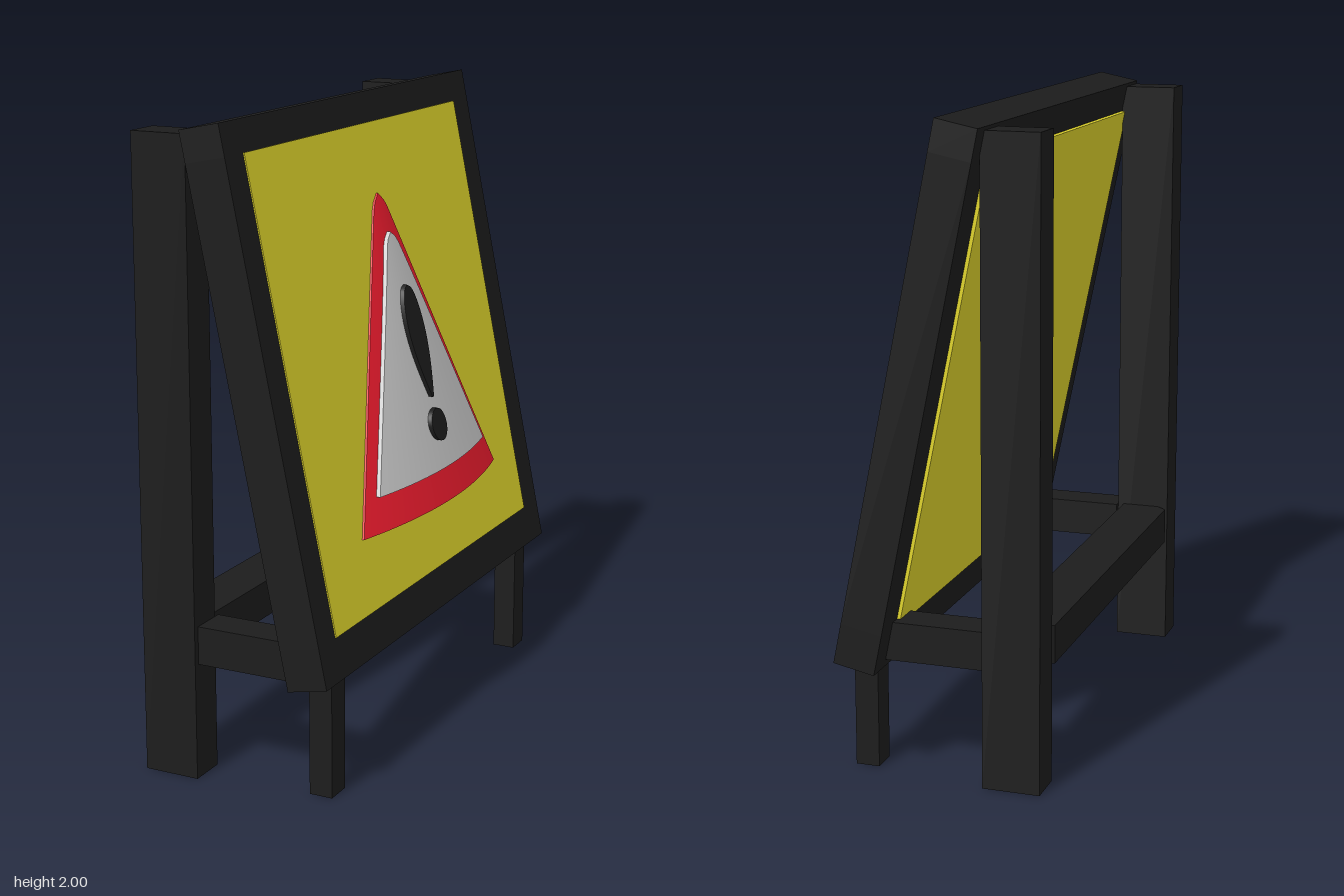
import * as THREE from 'three';

const paint = (color) => new THREE.MeshStandardMaterial({ color });
const black = paint(0x1c1c1c), yellow = paint(0xe0d52c), red = paint(0xee1c2e);
const white = paint(0xcccccc), ink = paint(0x1c1c1c);

function add(parent, name, geometry, material) {
  const mesh = new THREE.Mesh(geometry, material);
  mesh.name = name;
  parent.add(mesh);
  return mesh;
}

// Box given by its limits on each axis
function block(parent, name, [x0, x1], [y0, y1], [z0, z1], material = black) {
  const mesh = add(parent, name, new THREE.BoxGeometry(x1 - x0, y1 - y0, z1 - z0), material);
  mesh.position.set((x0 + x1) / 2, (y0 + y1) / 2, (z0 + z1) / 2);
  return mesh;
}

// Front face of the leaning board, and the bulged warning surface on it
const MID = -0.027, TOP = 1.69, BOTTOM = 0.715;
const boardX = (y) => 0.31 - (y - 0.365) * 0.205;
function bulgeX(y, z) {
  const t = (TOP - y) / (TOP - BOTTOM);
  const w = 0.025 + 0.475 * t;
  return boardX(y) + 0.008 + 0.062 * t * Math.max(0, 1 - (z / w) ** 2);
}

// Solid plate lying on the bulge: halfWidth(t) gives its outline, t = 0 at the top
function plate(parent, name, top, bottom, halfWidth, raise, material) {
  const geometry = new THREE.BoxGeometry(1, 1, 1, 1, 40, 24);
  const p = geometry.attributes.position;
  for (let i = 0; i < p.count; i++) {
    const t = 0.5 - p.getY(i);
    const y = top + (bottom - top) * t;
    const z = p.getZ(i) * 2 * halfWidth(t);
    const x = p.getX(i) > 0 ? bulgeX(y, z) + raise : boardX(y) - 0.01;
    p.setXYZ(i, x, y, z + MID);
  }
  geometry.computeVertexNormals();
  return add(parent, name, geometry, material);
}

// Triangle outline with a slightly rounded tip
const triangle = (tip, base) => (t) =>
  (tip + (base - tip) * t) * Math.min(1, Math.sqrt(t / 0.035));

export function createModel() {
  const model = new THREE.Group();
  model.name = 'warningSign';

  // Stand: rear posts, short front legs and side rails, mirrored about z = 0.03
  const stand = new THREE.Group();
  stand.name = 'stand';
  model.add(stand);
  for (const s of [1, -1]) {
    const span = (a, b) => [0.03 + s * a, 0.03 + s * b].sort((m, n) => m - n);
    block(stand, 'rearPost', [-0.32, -0.14], [0, 1.965], span(0.68, 0.8));
    block(stand, 'frontLeg', [0.215, 0.29], [0, 0.4], span(0.655, 0.74));
    block(stand, 'sideRail', [-0.14, 0.215], [0.365, 0.485], span(0.66, 0.78));
  }

  // Rear crossbar with bevelled ends
  const bar = new THREE.Shape([
    [-0.16, -0.65], [-0.16, 0.71], [-0.285, 0.71],
    [-0.32, 0.682], [-0.32, -0.622], [-0.285, -0.65],
  ].map(([x, z]) => new THREE.Vector2(x, -z)));
  const barGeometry = new THREE.ExtrudeGeometry(bar, { depth: 0.12, bevelEnabled: false });
  barGeometry.rotateX(-Math.PI / 2);
  add(stand, 'crossbar', barGeometry, black).position.y = 0.365;

  // Leaning board: frame bars around a thick panel
  const board = new THREE.Group();
  board.name = 'board';
  board.position.set(0.075, 1.172, 0);
  board.rotation.z = Math.atan(0.205);
  model.add(board);
  const H = 0.834, depth = [-0.066, 0.066];
  block(board, 'frameTop', depth, [H - 0.097, H], [-H, H]);
  block(board, 'frameBottom', depth, [-H, -H + 0.128], [-H, H]);
  block(board, 'frameLeftSide', depth, [-H + 0.128, H - 0.097], [0.73, H]);
  block(board, 'frameRightSide', depth, [-H + 0.128, H - 0.097], [-H, -0.715]);
  block(board, 'panel', [-0.077, 0.07], [-H + 0.128, H - 0.097], [-0.715, 0.73], yellow);

  // Warning triangle with its exclamation mark
  const warning = new THREE.Group();
  warning.name = 'warningTriangle';
  model.add(warning);
  plate(warning, 'redTriangle', TOP, BOTTOM, triangle(0.025, 0.497), 0, red);
  plate(warning, 'whiteTriangle', 1.57, 0.822, triangle(0.022, 0.393), 0.013, white);
  const drop = (t) => t < 0.38
    ? 0.056 * Math.sqrt(Math.max(0, 1 - (1 - t / 0.38) ** 2))
    : 0.005 + 0.051 * Math.cos(((t - 0.38) / 0.62) * Math.PI / 2);
  plate(warning, 'markStroke', 1.405, 1.05, drop, 0.027, ink);
  const disc = (t) => 0.051 * Math.sqrt(Math.max(0, 1 - (2 * t - 1) ** 2));
  plate(warning, 'markDot', 1.013, 0.911, disc, 0.027, ink);

  return model;
}
